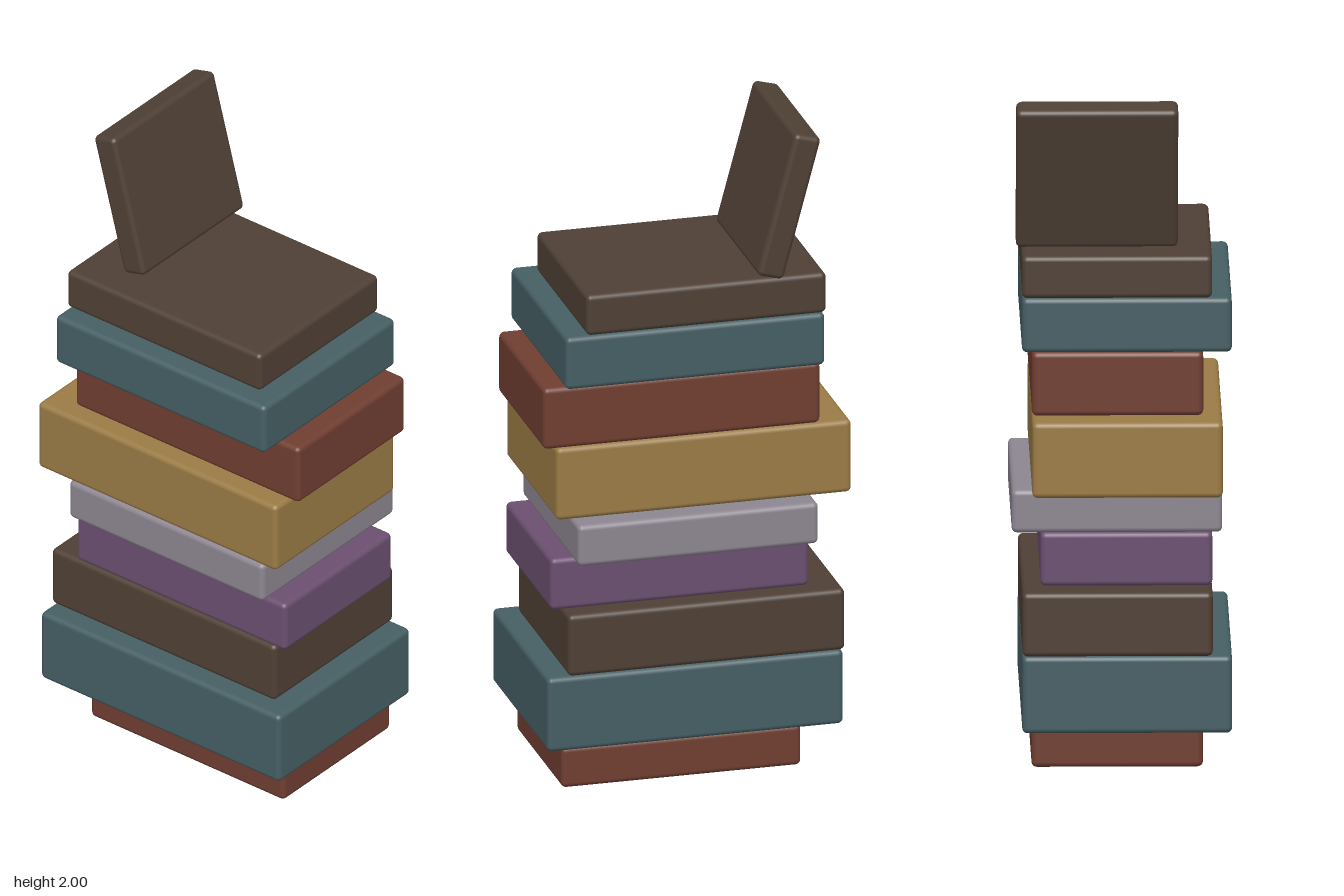
import * as THREE from 'three';
import { RoundedBoxGeometry } from 'three/addons/geometries/RoundedBoxGeometry.js';

const BROWN = 0x4f4035, TEAL = 0x465f64, RED = 0x703e31;
const PURPLE = 0x6b4f70, GREY = 0x8d8691, GOLD = 0x9a7b45;
const EDGE = 0.016;

export function createModel() {
  const model = new THREE.Group();
  model.name = 'bookStack';

  const materials = new Map();
  const paint = (color) => {
    if (!materials.has(color)) materials.set(color, new THREE.MeshStandardMaterial({ color }));
    return materials.get(color);
  };

  // A book is a block with softly rounded edges
  const addBook = (name, color, size, position) => {
    const book = new THREE.Mesh(new RoundedBoxGeometry(...size, 3, EDGE), paint(color));
    book.name = name;
    book.position.set(...position);
    model.add(book);
    return book;
  };

  // Lying books, bottom to top: color, top height, x range, z range
  const books = [
    [RED, 0.128, -0.318, 0.412, -0.263, 0.241],
    [TEAL, 0.36, -0.439, 0.463, -0.292, 0.325],
    [BROWN, 0.552, -0.444, 0.4, -0.292, 0.268],
    [PURPLE, 0.714, -0.349, 0.439, -0.237, 0.268],
    [GREY, 0.843, -0.355, 0.378, -0.322, 0.297],
    [GOLD, 1.07, -0.472, 0.428, -0.263, 0.297],
    [RED, 1.262, -0.376, 0.468, -0.263, 0.241],
    [TEAL, 1.426, -0.383, 0.407, -0.292, 0.325],
    [BROWN, 1.553, -0.387, 0.344, -0.292, 0.267],
  ];
  let bottom = 0;
  books.forEach(([color, top, x0, x1, z0, z1], i) => {
    addBook(`lyingBook${i + 1}`, color,
      [x1 - x0, top - bottom, z1 - z0],
      [(x0 + x1) / 2, (top + bottom) / 2, (z0 + z1) / 2]);
    bottom = top;
  });

  // Small book tilted on its edge on top of the stack
  const tilted = addBook('tiltedBook', BROWN, [0.083, 0.45, 0.476], [-0.27, 1.776, -0.07]);
  tilted.rotation.z = THREE.MathUtils.degToRad(15);

  return model;
}
